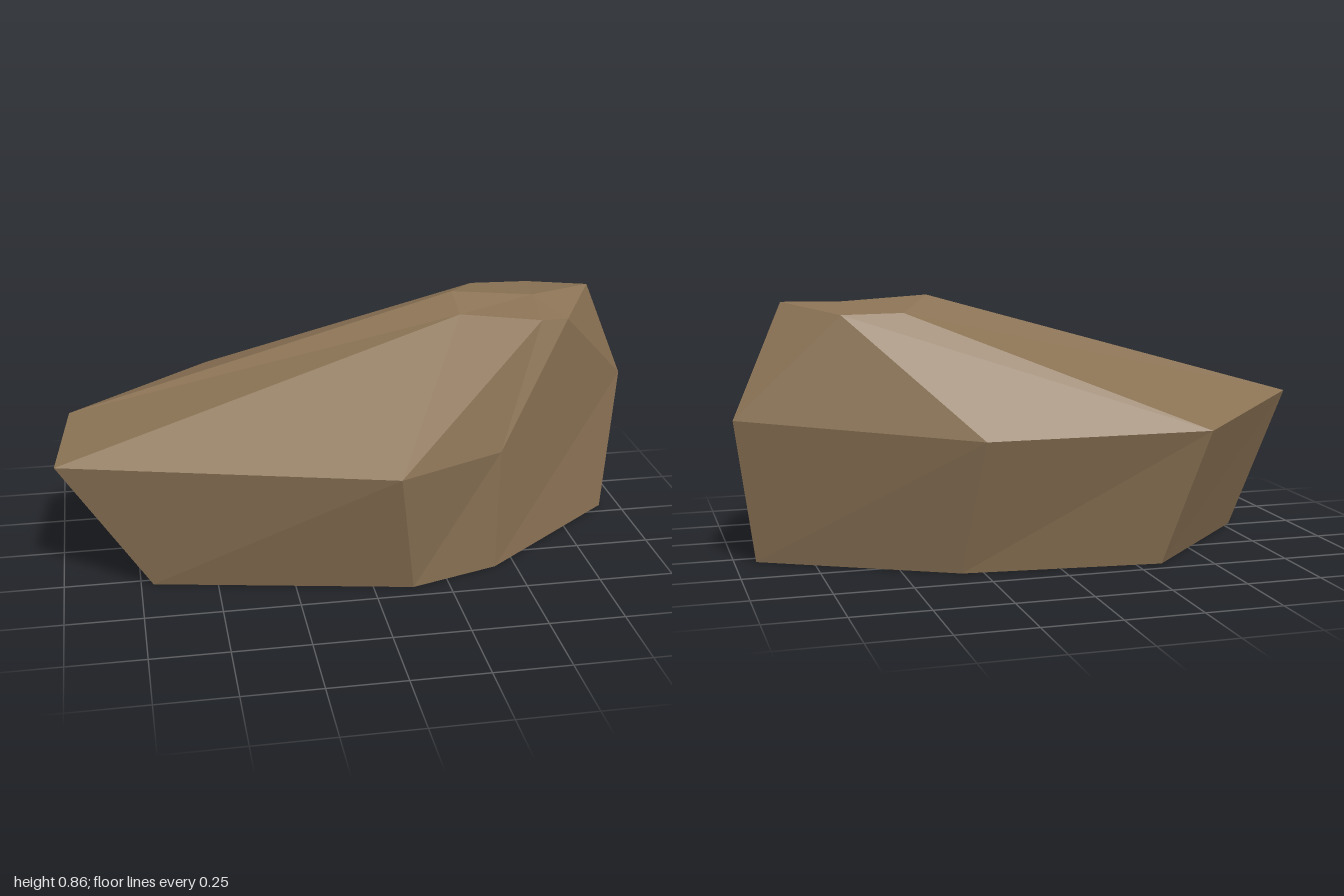
import * as THREE from 'three';

// Three seven-sided rings, starting at the +x tip and going round by the front
const base = [
  [0.93, 0, -0.05], [0.43, 0, 0.35], [0.13, 0, 0.445], [-0.71, 0, 0.28],
  [-0.78, 0, 0.02], [-0.335, 0, -0.445], [0.32, 0, -0.38],
];
const waist = [
  [1, 0.485, -0.135], [0.425, 0.437, 0.39], [0.06, 0.447, 0.575], [-1, 0.452, 0.305],
  [-0.95, 0.492, -0.053], [-0.45, 0.455, -0.577], [0.28, 0.45, -0.547],
];
const crown = [
  [0.83, 0.85, -0.05], [0.7, 0.802, 0.165], [0.6, 0.814, 0.2], [0.345, 0.82, 0.112],
  [0.345, 0.86, -0.018], [0.465, 0.82, -0.225], [0.665, 0.818, -0.22],
];

// Joins two rings; each quad is split along the diagonal chosen by flip(i)
function band(out, lower, upper, flip) {
  lower.forEach((l, i) => {
    const j = (i + 1) % lower.length;
    const l2 = lower[j], u = upper[i], u2 = upper[j];
    if (flip(i)) out.push(l2, l, u, l2, u, u2);
    else out.push(l2, l, u2, l, u, u2);
  });
}

// Closes a ring with a fan around a centre point
function cap(out, ring, centre, up) {
  ring.forEach((p, i) => {
    const q = ring[(i + 1) % ring.length];
    if (up) out.push(centre, q, p);
    else out.push(centre, p, q);
  });
}

export function createModel() {
  const group = new THREE.Group();
  group.name = 'rock';

  const corners = [];
  cap(corners, base, [0, 0, 0], false);
  band(corners, base, waist, () => true);
  band(corners, waist, crown, (i) => i === 3 || i === 6);
  cap(corners, crown, [0.62, 0.842, 0.008], true);

  // Unshared corners give each facet its own flat normal
  const geometry = new THREE.BufferGeometry();
  geometry.setAttribute('position', new THREE.Float32BufferAttribute(corners.flat(), 3));
  geometry.computeVertexNormals();

  const stone = new THREE.MeshStandardMaterial({ color: 0x8b7355, flatShading: true });
  stone.name = 'brown stone';
  const boulder = new THREE.Mesh(geometry, stone);
  boulder.name = 'boulder';
  group.add(boulder);
  return group;
}
